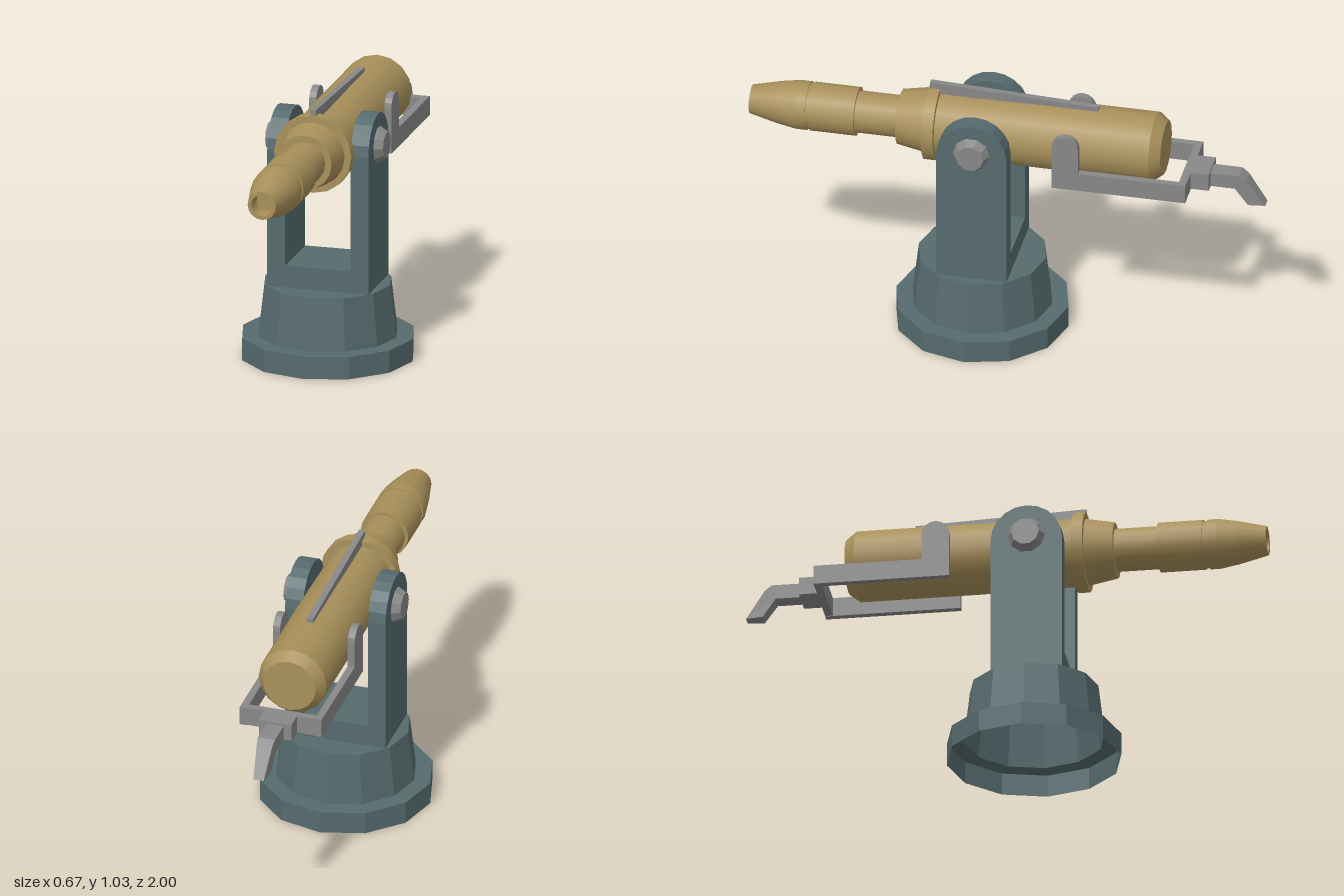
import * as THREE from 'three';

const paint = (color, flatShading = true) =>
  new THREE.MeshStandardMaterial({ color, flatShading, side: THREE.DoubleSide });

const PIVOT_Z = 0.103, AXIS_Y = 0.855;

export function createModel() {
  const model = new THREE.Group();
  const teal = paint(0x566b6e), brass = paint(0xa8905a, false), steel = paint(0x888888);

  const add = (name, geometry, material, parent = model) => {
    const mesh = new THREE.Mesh(geometry, material);
    mesh.name = name;
    parent.add(mesh);
    return mesh;
  };

  // Side outline given as [z, y] pairs, extruded across x
  const slab = (points, x0, x1) => {
    const shape = new THREE.Shape(points.map(([z, y]) => new THREE.Vector2(-z, y)));
    return new THREE.ExtrudeGeometry(shape, { depth: x1 - x0, bevelEnabled: false })
      .rotateY(Math.PI / 2).translate(x0, 0, 0);
  };

  // Half circle of [z, y] points running over the top from front to back
  const arch = (z, y, r, steps) => Array.from({ length: steps + 1 }, (_, i) => {
    const a = Math.PI * i / steps;
    return [z + r * Math.cos(a), y + r * Math.sin(a)];
  });

  const box = (x0, x1, y0, y1, z0, z1) => new THREE.BoxGeometry(x1 - x0, y1 - y0, z1 - z0)
    .translate((x0 + x1) / 2, (y0 + y1) / 2, (z0 + z1) / 2);

  // Hollow stepped pedestal, open underneath
  const pedestal = [[0.335, 0], [0.335, 0.088], [0.271, 0.09], [0.247, 0.294], [0, 0.294]];
  add('pedestal', new THREE.LatheGeometry(pedestal.map(p => new THREE.Vector2(...p)), 12), teal)
    .position.z = PIVOT_Z;

  // Yoke: crosspiece, two round-topped arms and their pivot bolts
  const yoke = new THREE.Group();
  yoke.name = 'yoke';
  model.add(yoke);
  const half = 0.137;
  add('yokeCrosspiece', box(-0.13, 0.13, 0.294, 0.38, PIVOT_Z - half, PIVOT_Z + half), teal, yoke);
  const armOutline = [[PIVOT_Z + half, 0.294], ...arch(PIVOT_Z, 0.837, half, 10), [PIVOT_Z - half, 0.294]];
  for (const [side, s] of [['left', 1], ['right', -1]]) {
    add(side + 'YokeArm', slab(armOutline, s > 0 ? 0.13 : -0.2, s > 0 ? 0.2 : -0.13), teal, yoke);
    const bolt = add(side + 'PivotBolt', new THREE.CylinderGeometry(0.053, 0.072, 0.034, 10), steel, yoke);
    bolt.rotation.z = -s * Math.PI / 2;
    bolt.position.set(s * 0.216, 0.85, PIVOT_Z);
  }

  // Barrel: [z, radius] stations from the muzzle recess, round the lip, to the breech
  const barrel = new THREE.Group();
  barrel.name = 'barrel';
  barrel.position.y = AXIS_Y;
  model.add(barrel);
  const stations = [
    [0.94, 0], [0.94, 0.038], [1, 0.042], [1, 0.056], [0.89, 0.082], [0.815, 0.095], [0.775, 0.095],
    [0.775, 0.09], [0.76, 0.09], [0.76, 0.095], [0.585, 0.095], [0.585, 0.082],
    [0.42, 0.082], [0.42, 0.107], [0.31, 0.127], [0.31, 0.153], [0.265, 0.153],
    [0.265, 0.129], [-0.12, 0.135], [-0.57, 0.135], [-0.61, 0.105], [-0.61, 0],
  ];
  for (let i = 0; i < stations.length - 1; i++) {
    const [z0, r0] = stations[i], [z1, r1] = stations[i + 1];
    // Each span is its own surface, so edges between spans stay crisp
    const inside = i < 2;
    const span = new THREE.CylinderGeometry(r0, r1, z0 - z1, 16, 1, true).rotateX(Math.PI / 2);
    if (inside && z0 !== z1) span.scale(1, 1, 1);
    add('barrelSection' + (i + 1), span, brass, barrel).position.z = (z0 + z1) / 2;
  }

  // Thin sloping rail along the top
  add('sightRail', slab([[0.305, 0.985], [0.305, 1.03], [-0.35, 1.005], [-0.35, 0.98]], -0.012, 0.012), steel);

  // Rear bracket: two side arms with round lugs, joined behind the breech
  const bracket = new THREE.Group();
  bracket.name = 'bracket';
  model.add(bracket);
  const lug = [[-0.2, 0.72], ...arch(-0.252, 0.898, 0.052, 8), [-0.304, 0.795], [-0.72, 0.795], [-0.72, 0.72]];
  add('leftBracketArm', slab(lug, 0.135, 0.163), steel, bracket);
  add('rightBracketArm', slab(lug, -0.163, -0.135), steel, bracket);
  add('bracketCrossbar', box(-0.135, 0.135, 0.722, 0.795, -0.72, -0.69), steel, bracket);
  add('handleSocket', box(-0.065, 0.065, 0.725, 0.795, -0.79, -0.72), steel, bracket);

  // Bent handle, narrowing toward its lower tip
  const handle = slab([[-0.79, 0.785], [-0.9, 0.785], [-0.927, 0.765], [-1, 0.658],
    [-0.935, 0.658], [-0.885, 0.728], [-0.79, 0.728]], -0.034, 0.034);
  const pos = handle.attributes.position;
  for (let i = 0; i < pos.count; i++) {
    const taper = Math.max(0, -0.9 - pos.getZ(i)) / 0.1;
    pos.setX(i, pos.getX(i) * (1 - 0.4 * taper));
  }
  handle.computeVertexNormals();
  add('handle', handle, steel, bracket);

  return model;
}
